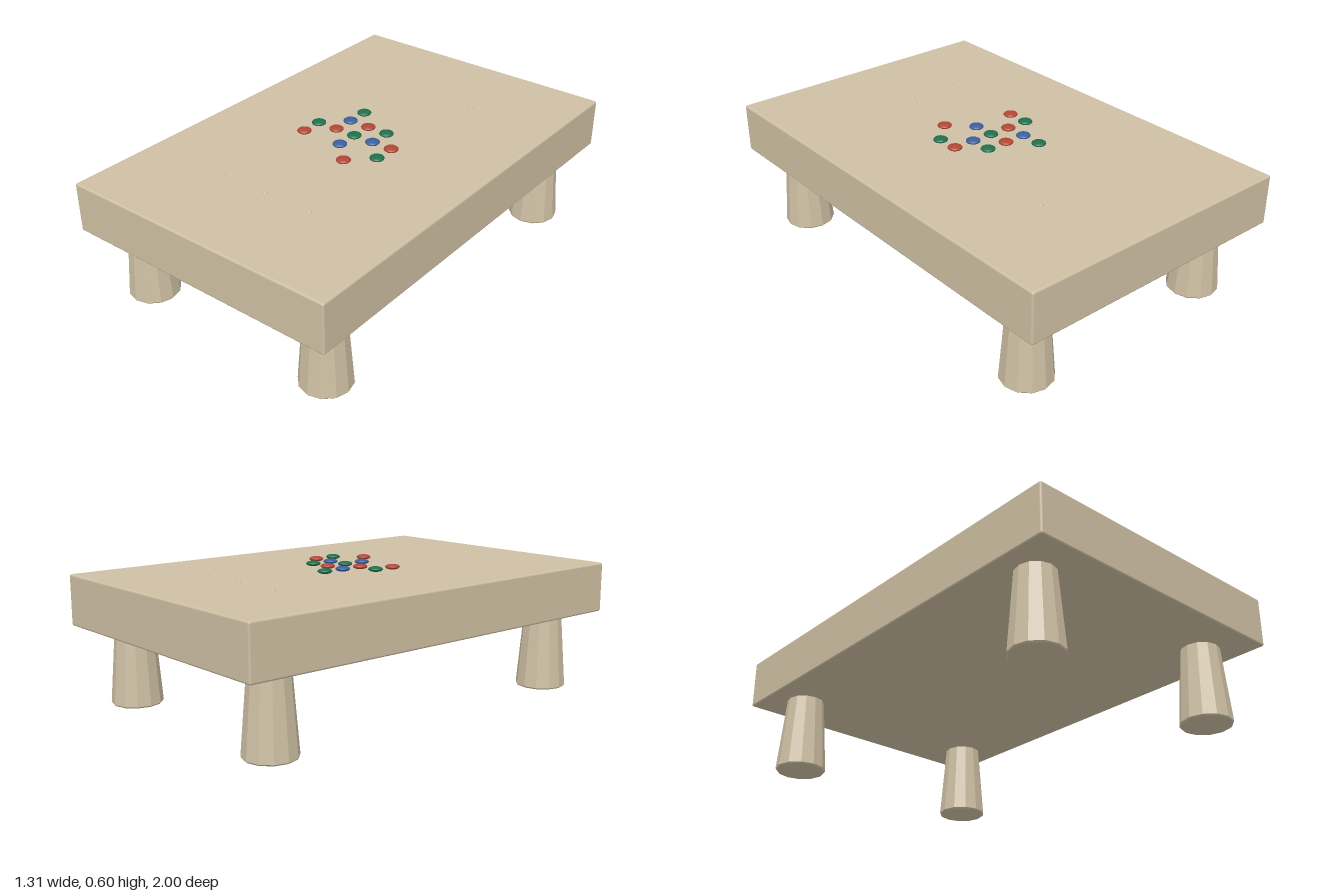
import * as THREE from 'three';
import { RoundedBoxGeometry } from 'three/addons/geometries/RoundedBoxGeometry.js';

const mat = (name, color) => {
  const m = new THREE.MeshStandardMaterial({ color });
  m.name = name;
  return m;
};

export function createModel() {
  const group = new THREE.Group();
  group.name = 'gameTable';
  const wood = mat('paleWood', 0xcfc0a4);
  const stoneMats = {
    r: mat('redStone', 0xb04634),
    g: mat('greenStone', 0x1f6e4c),
    b: mat('blueStone', 0x3a5f9e),
  };

  const add = (name, geometry, material, x, y, z) => {
    const mesh = new THREE.Mesh(geometry, material);
    mesh.name = name;
    mesh.position.set(x, y, z);
    group.add(mesh);
    return mesh;
  };

  // Thick board with slightly softened edges
  add('board', new RoundedBoxGeometry(1.31, 0.226, 2, 2, 0.009), wood, 0, 0.459, 0);

  // Tapered, faceted legs with a small chamfer at the foot
  const profile = [[0, 0], [0.108, 0], [0.113, 0.006], [0.085, 0.346], [0, 0.346]]
    .map(([r, y]) => new THREE.Vector2(r, y));
  const legGeo = new THREE.LatheGeometry(profile, 12).toNonIndexed();
  legGeo.computeVertexNormals();
  for (const x of [-0.485, 0.485])
    for (const z of [-0.79, 0.79]) add('leg', legGeo, wood, x, 0, z);

  // Nine tiny marker points on the board
  const pointGeo = new THREE.SphereGeometry(0.01, 10, 6);
  pointGeo.scale(1, 0.5, 1);
  for (const x of [-0.23, 0, 0.23])
    for (const z of [-0.575, 0, 0.575]) add('markerPoint', pointGeo, wood, x, 0.572, z);

  // Lens-shaped playing stones: colour, x, z
  const stoneGeo = new THREE.SphereGeometry(0.032, 24, 12);
  stoneGeo.scale(1, 0.36, 1);
  const stones = [
    ['g', -0.1, -0.2],
    ['b', -0.1, -0.1], ['r', 0, -0.1], ['g', 0.1, -0.1],
    ['g', -0.2, 0], ['r', -0.1, 0], ['g', 0, 0], ['b', 0.1, 0], ['r', 0.2, 0],
    ['r', -0.2, 0.1], ['b', 0, 0.1], ['g', 0.2, 0.1],
    ['r', 0.1, 0.2],
  ];
  for (const [c, x, z] of stones) add('stone', stoneGeo, stoneMats[c], x, 0.592, z);

  return group;
}
